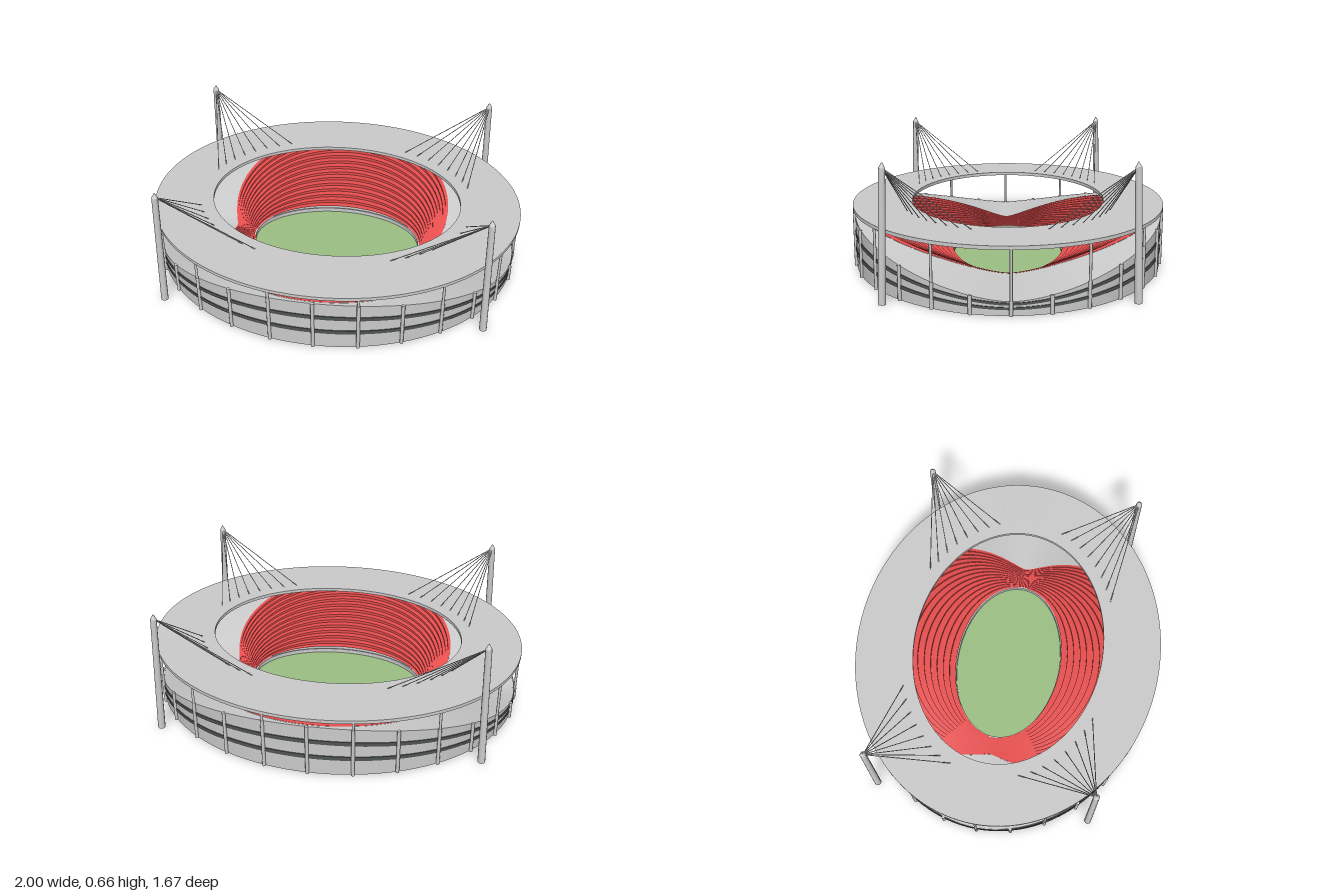
import * as THREE from 'three';
import { toCreasedNormals } from 'three/addons/utils/BufferGeometryUtils.js';

const SEG = 112;
const material = (color) => new THREE.MeshStandardMaterial({ color, side: THREE.DoubleSide });
const grey = material(0xcccccc);
const red = material(0xe84e4e);
const green = material(0x9cc084);
const dark = material(0x505454);

// Saddle rule: 0 at the x ends of the ellipse, 1 at the z ends
const swell = (t) => Math.pow(Math.abs(Math.sin(t)), 1.5);
const wallTop = (t) => 0.066 + 0.208 * swell(t);
const lerp = THREE.MathUtils.lerp;

// Sweeps a profile around the ellipse; profile(t) lists [radiusX, radiusZ, y]
function ring(name, mat, profile) {
  const pos = [], idx = [];
  const rows = profile(0).length;
  for (let i = 0; i < SEG; i++) {
    const t = (i / SEG) * Math.PI * 2;
    for (const [a, b, y] of profile(t)) pos.push(a * Math.cos(t), y, b * Math.sin(t));
  }
  for (let i = 0; i < SEG; i++) {
    const n = (i + 1) % SEG;
    for (let j = 0; j < rows - 1; j++) {
      const p = i * rows + j, q = n * rows + j;
      idx.push(p, p + 1, q, p + 1, q + 1, q);
    }
  }
  const g = new THREE.BufferGeometry();
  g.setAttribute('position', new THREE.Float32BufferAttribute(pos, 3));
  g.setIndex(idx);
  const mesh = new THREE.Mesh(toCreasedNormals(g, 0.5), mat);
  mesh.name = name;
  return mesh;
}

// Closed rectangular section between an outer and an inner ellipse
const slab = ([a, b], [c, d], low, high) =>
  [[a, b, low], [a, b, high], [c, d, high], [c, d, low], [a, b, low]];

// Round bar between two points
function bar(name, from, to, r0, r1, sides, mat = grey) {
  const dir = to.clone().sub(from);
  const mesh = new THREE.Mesh(new THREE.CylinderGeometry(r1, r0, dir.length(), sides), mat);
  mesh.position.copy(from).addScaledVector(dir, 0.5);
  mesh.quaternion.setFromUnitVectors(new THREE.Vector3(0, 1, 0), dir.normalize());
  mesh.name = name;
  return mesh;
}

export function createModel() {
  const model = new THREE.Group();
  model.name = 'stadium';
  const v = (x, y, z) => new THREE.Vector3(x, y, z);

  // Playing field
  const field = new THREE.Mesh(new THREE.CircleGeometry(1, SEG), green);
  field.geometry.rotateX(-Math.PI / 2);
  field.geometry.scale(0.465, 1, 0.298);
  field.position.y = 0.01;
  field.name = 'field';
  model.add(field);

  // Kerb around the field
  model.add(ring('kerb', grey, () => slab([0.472, 0.305], [0.464, 0.297], 0, 0.033)));

  // Stepped stands, squeezed towards the x ends
  const ROWS = 14;
  const reach = (t) => 0.21 + 0.77 * swell(t);
  const at = (f) => [lerp(0.468, 0.98, f), lerp(0.301, 0.82, f)];
  model.add(ring('stands', red, (t) => {
    const p = [];
    for (let k = ROWS; k > 0; k--) {
      const y = lerp(0.03, wallTop(t), k / ROWS);
      p.push([...at(reach(t) * k / ROWS), y], [...at(reach(t) * (k - 1) / ROWS), y]);
    }
    return p;
  }));

  // Level walkway from the stands out to the wall
  model.add(ring('concourse', grey, (t) =>
    [[0.978, 0.818, wallTop(t) - 0.001], [...at(reach(t)), wallTop(t) - 0.001]]));

  // Outer wall with two dark window bands
  model.add(ring('outerWall', grey, (t) => slab([0.984, 0.824], [0.976, 0.816], 0, wallTop(t))));
  for (const [base, rise] of [[0.034, 0.066], [0.055, 0.134]]) {
    model.add(ring('windowBand', dark, (t) => {
      const y = base + rise * swell(t), h = 0.006 + 0.005 * swell(t);
      return slab([0.988, 0.828], [0.973, 0.813], y - h, y + h);
    }));
  }

  // Wall ribs; every second one is a column up to the roof
  for (let k = 0; k < 28; k++) {
    const t = (k / 28) * Math.PI * 2;
    const x = 0.989 * Math.cos(t), z = 0.828 * Math.sin(t);
    model.add(bar('wallRib', v(x, 0, z), v(x, wallTop(t) + 0.004, z), 0.009, 0.009, 8));
    if (k % 2 === 0) model.add(bar('roofColumn', v(x, 0, z), v(x, 0.31, z), 0.007, 0.007, 8));
  }

  // Ring roof
  model.add(ring('roof', grey, () => slab([1, 0.835], [0.68, 0.52], 0.308, 0.326)));

  // Four leaning masts, each with a fan of stay cables
  for (const sx of [-1, 1]) for (const sz of [-1, 1]) {
    const mast = new THREE.Group();
    mast.name = 'mast';
    const foot = v(sx * 0.828, 0, sz * 0.592);
    const head = v(sx * 0.808, 0.635, sz * 0.575);
    const tip = v(sx * 0.807, 0.66, sz * 0.574);
    mast.add(bar('mastShaft', foot, head, 0.019, 0.016, 12));
    mast.add(bar('mastCap', head, tip, 0.016, 0.002, 12));
    for (let i = 0; i < 8; i++) {
      const t = THREE.MathUtils.degToRad(lerp(18, 63, i / 7));
      const end = v(sx * 0.75 * Math.cos(t), 0.324, sz * 0.58 * Math.sin(t));
      mast.add(bar('stayCable', head, end, 0.0022, 0.0022, 6));
    }
    model.add(mast);
  }
  return model;
}
